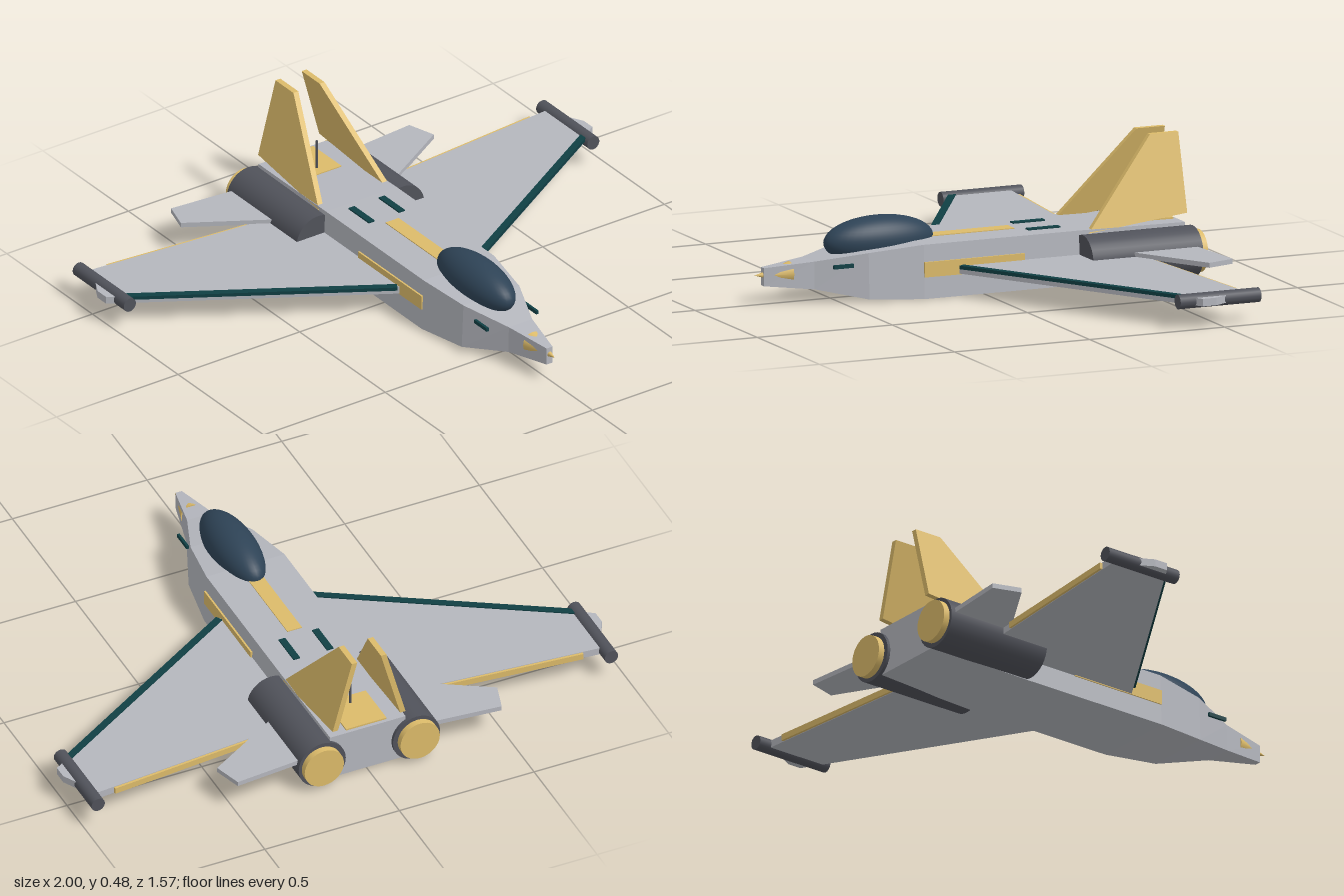
import * as THREE from 'three';

const paint = (color) => new THREE.MeshStandardMaterial({ color });
const GREY = paint(0xb4b6bd), GOLD = paint(0xdcbb6a), DARK = paint(0x50525a);
const TEAL = paint(0x103f44), GLASS = paint(0x2e4356);
const HULL = new THREE.MeshStandardMaterial({ color: 0xb4b6bd, flatShading: true });

// Hull of four-cornered sections: [z, half width top, half width bottom, y top, y bottom]
function loft(sections) {
  const pos = [];
  const rings = sections.map(([z, wt, wb, t, b]) => [[wb, b, z], [wt, t, z], [-wt, t, z], [-wb, b, z]]);
  const quad = (a, b, c, d) => pos.push(...a, ...b, ...c, ...a, ...c, ...d);
  for (let i = 0; i < rings.length - 1; i++) {
    const f = rings[i], r = rings[i + 1];
    for (let k = 0; k < 4; k++) {
      const n = (k + 1) % 4;
      quad(f[k], r[k], r[n], f[n]);
    }
  }
  quad(...rings[0]);
  quad(...rings[rings.length - 1].slice().reverse());
  const g = new THREE.BufferGeometry();
  g.setAttribute('position', new THREE.Float32BufferAttribute(pos, 3));
  g.computeVertexNormals();
  return g;
}

// Flat horizontal plate from [x, z] corners, between two heights
function plate(points, y0, y1) {
  const shape = new THREE.Shape(points.map(([x, z]) => new THREE.Vector2(x, -z)));
  return new THREE.ExtrudeGeometry(shape, { depth: y1 - y0, bevelEnabled: false })
    .rotateX(-Math.PI / 2).translate(0, y0, 0);
}

// Upright plate from [z, y] corners, centred on x = 0
function uprightPlate(points, thickness) {
  const shape = new THREE.Shape(points.map(([z, y]) => new THREE.Vector2(z, y)));
  return new THREE.ExtrudeGeometry(shape, { depth: thickness, bevelEnabled: false })
    .rotateY(-Math.PI / 2).translate(thickness / 2, 0, 0);
}

// Cylinder or cone along z
function tube(rFront, rBack, zFront, zBack, sides = 32) {
  return new THREE.CylinderGeometry(rFront, rBack, zFront - zBack, sides)
    .rotateX(Math.PI / 2).translate(0, 0, (zFront + zBack) / 2);
}

// Bar between two [x, z] points
function bar(a, b, y, width, height) {
  const dx = b[0] - a[0], dz = b[1] - a[1];
  return new THREE.BoxGeometry(Math.hypot(dx, dz), height, width)
    .rotateY(Math.atan2(-dz, dx)).translate((a[0] + b[0]) / 2, y, (a[1] + b[1]) / 2);
}

export function createModel() {
  const model = new THREE.Group();
  model.name = 'jet';
  const add = (name, geometry, material, x = 0, y = 0, z = 0) => {
    const m = new THREE.Mesh(geometry, material);
    m.name = name;
    m.position.set(x, y, z);
    model.add(m);
    return m;
  };

  // Body
  add('fuselage', loft([
    [0.75, 0.012, 0.012, 0.13, 0.068],
    [0.58, 0.048, 0.05, 0.145, 0.05],
    [0.41, 0.115, 0.122, 0.172, 0.014],
    [0.22, 0.145, 0.153, 0.19, 0.005],
    [-0.35, 0.145, 0.153, 0.19, 0.005],
    [-0.75, 0.14, 0.145, 0.185, 0.015],
  ]), HULL);
  add('noseCone', tube(0, 0.039, 0.78, 0.65, 16), GOLD, 0, 0.105, 0);
  add('canopy', new THREE.SphereGeometry(1, 40, 24).scale(0.08, 0.082, 0.2), GLASS, 0, 0.193, 0.322);

  // Markings and fittings on the back
  add('spinePanel', new THREE.BoxGeometry(0.054, 0.01, 0.37), GOLD, 0, 0.188, 0.015);
  add('rearPanel', new THREE.BoxGeometry(0.15, 0.012, 0.165), GOLD, 0, 0.185, -0.655);
  add('antenna', new THREE.CylinderGeometry(0.004, 0.005, 0.11, 8), DARK, 0, 0.24, -0.61);

  for (const s of [1, -1]) {
    const side = s > 0 ? 'left' : 'right';
    const flip = (pts) => pts.map(([x, z]) => [s * x, z]);

    // Wing with leading edge, flap and tip pod
    add(side + 'Wing', plate(flip([
      [0.14, 0.1], [1, -0.42], [1, -0.47], [0.93, -0.6], [0.14, -0.53],
    ]), 0.082, 0.108), GREY);
    add(side + 'LeadingEdge', bar([s * 0.16, 0.087], [s * 0.94, -0.385], 0.106, 0.025, 0.012), TEAL);
    add(side + 'Flap', bar([s * 0.31, -0.545], [s * 0.87, -0.596], 0.095, 0.016, 0.022), GOLD);
    add(side + 'WingtipPod', tube(0.025, 0.025, -0.348, -0.647, 20), DARK, s * 0.953, 0.095, 0);

    // Tail plane
    add(side + 'Stabilizer', plate(flip([
      [0.16, -0.45], [0.52, -0.665], [0.49, -0.765], [0.16, -0.735],
    ]), 0.105, 0.122), GREY);

    // Tail fin, leaning inward toward the top
    const lean = new THREE.Matrix4().set(
      1, -0.27 * s, 0, s * (0.135 + 0.27 * 0.18),
      0, 1, 0, 0,
      0, 0, 1, 0,
      0, 0, 0, 1);
    add(side + 'TailFin', uprightPlate([
      [-0.39, 0.176], [-0.655, 0.48], [-0.76, 0.48], [-0.76, 0.215],
    ], 0.02).applyMatrix4(lean), GOLD);

    // Engine and nozzle
    add(side + 'Engine', tube(0.0875, 0.0875, -0.355, -0.762), DARK, s * 0.175, 0.092, 0);
    add(side + 'Nozzle', tube(0.073, 0.073, -0.74, -0.785), GOLD, s * 0.178, 0.092, 0);

    // Side panel, vents and sensors
    add(side + 'SidePanel', new THREE.BoxGeometry(0.016, 0.052, 0.37), GOLD, s * 0.146, 0.105, 0.035);
    add(side + 'Vent', new THREE.BoxGeometry(0.024, 0.01, 0.118), TEAL, s * 0.062, 0.19, -0.26);
    add(side + 'Sensor', new THREE.BoxGeometry(0.009, 0.013, 0.073), TEAL, s * 0.102, 0.131, 0.497);
  }
  return model;
}
